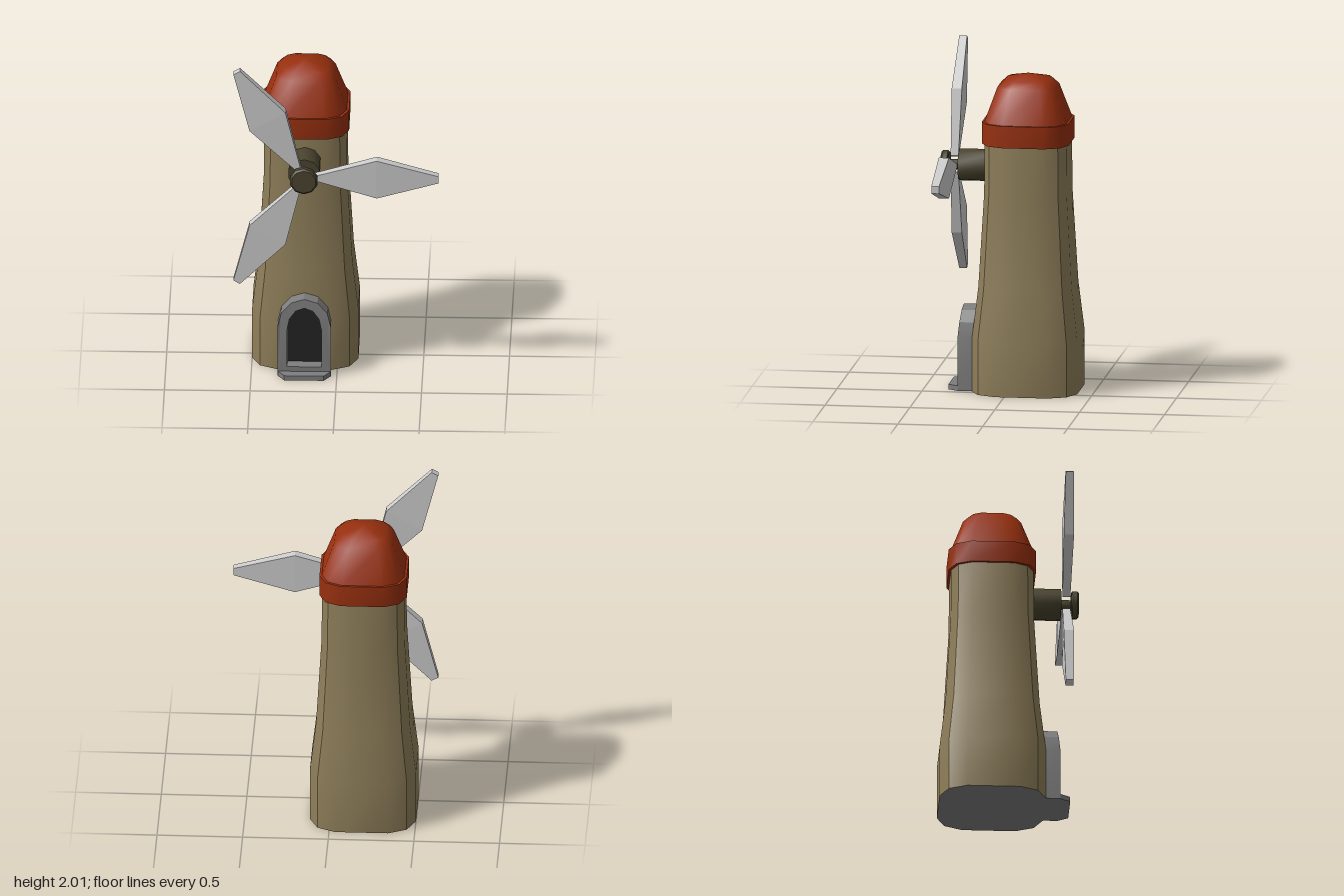
import * as THREE from 'three';
import { toCreasedNormals } from 'three/addons/utils/BufferGeometryUtils.js';

const CX = -0.19, CZ = -0.1; // tower axis

const material = (name, color) => {
  const m = new THREE.MeshStandardMaterial({ color });
  m.name = name;
  return m;
};

// Twelve-sided rounded square, swept through [halfWidth, y] sections
function loft(sections, crease) {
  const ring = [];
  for (let q = 0; q < 4; q++) {
    for (const [u, v] of [[1, 0.5], [0.84, 0.84], [0.5, 1]]) {
      let x = u, z = v;
      for (let k = 0; k < q; k++) [x, z] = [-z, x];
      ring.push([x, z]);
    }
  }
  const n = ring.length, pos = [], index = [];
  for (const [h, y] of sections) {
    for (const [x, z] of ring) pos.push(CX + x * h, y, CZ + z * h);
  }
  for (let s = 0; s < sections.length - 1; s++) {
    for (let i = 0; i < n; i++) {
      const j = (i + 1) % n;
      const a = s * n + i, b = s * n + j, c = a + n, d = b + n;
      if (sections[s][0] > 0) index.push(a, c, b);
      if (sections[s + 1][0] > 0) index.push(b, c, d);
    }
  }
  const g = new THREE.BufferGeometry();
  g.setAttribute('position', new THREE.Float32BufferAttribute(pos, 3));
  g.setIndex(index);
  return toCreasedNormals(g, crease);
}

// Arched outline, from the floor up and around
function archPoints(half, bottom, spring, top) {
  const pts = [[-half, bottom], [half, bottom]];
  for (let i = 0; i <= 6; i++) {
    const t = (i / 6) * Math.PI;
    pts.push([half * Math.cos(t), spring + (top - spring) * Math.sin(t)]);
  }
  return pts.map(([x, y]) => new THREE.Vector2(x, y));
}

// Ten-sided turned part along z, from a [radius, z] profile
function turned(profile) {
  const g = new THREE.LatheGeometry(profile.map(([r, z]) => new THREE.Vector2(r, z)), 10);
  g.rotateX(Math.PI / 2);
  g.deleteAttribute('uv');
  return toCreasedNormals(g, 0.7);
}

// Diamond-shaped sail: a box reshaped at root, middle and tip
function bladeGeometry() {
  const g = new THREE.BoxGeometry(2, 2, 2, 2, 1, 1);
  const p = g.attributes.position;
  const stations = [[0.05, 0.011, 0.023], [0.425, 0.121, 0.03], [0.785, 0.022, 0.023]];
  for (let i = 0; i < p.count; i++) {
    const [r, w, d] = stations[Math.round(p.getX(i)) + 1];
    p.setXYZ(i, r, p.getY(i) * w, p.getZ(i) * d);
  }
  return toCreasedNormals(g, 0.02);
}

export function createModel() {
  const model = new THREE.Group();
  model.name = 'windmill';
  const stone = material('tan stone', 0x8f7f5a);
  const red = material('red roof', 0x98300f);
  const grey = material('grey stone', 0x7e7e7e);
  const dark = material('dark doorway', 0x232323);
  const wood = material('dark wood', 0x4a442f);
  const pale = material('pale sail', 0xcccccc);

  const add = (name, geometry, mat, parent = model) => {
    const mesh = new THREE.Mesh(geometry, mat);
    mesh.name = name;
    parent.add(mesh);
    return mesh;
  };

  // Tower
  add('tower', loft([[0.31, 0], [0.31, 0.32], [0.275, 0.62], [0.243, 1.17], [0.24, 1.5]], 0.55), stone);
  add('towerBase', loft([[0, 0], [0.31, 0]], 0.5), grey);

  // Roof
  add('roofBand', loft([[0.22, 1.47], [0.255, 1.47], [0.255, 1.6], [0.235, 1.6]], 0.72), red);
  add('roofDome', loft([[0.243, 1.595], [0.17, 1.8], [0.13, 1.84], [0, 1.873]], 0.8), red);

  // Door surround, leaning back slightly above the spring of the arch
  const door = new THREE.Group();
  door.name = 'door';
  door.position.x = CX;
  model.add(door);
  const outline = new THREE.Shape(archPoints(0.155, 0, 0.32, 0.49));
  outline.holes.push(new THREE.Path(archPoints(0.1, 0.06, 0.3, 0.435)));
  const frame = new THREE.ExtrudeGeometry(outline, { depth: 0.145, bevelEnabled: false });
  frame.translate(0, 0, 0.15);
  const fp = frame.attributes.position;
  for (let i = 0; i < fp.count; i++) {
    const lean = Math.max(0, fp.getY(i) - 0.32) * 0.09;
    if (fp.getZ(i) > 0.2) fp.setZ(i, fp.getZ(i) - lean);
  }
  add('doorFrame', toCreasedNormals(frame, 0.4), grey, door);

  // Dark opening
  const opening = new THREE.ShapeGeometry(new THREE.Shape(archPoints(0.102, 0.058, 0.3, 0.437)));
  add('doorOpening', opening, dark, door).position.z = 0.222;

  // Doorstep with cut corners
  const stepShape = new THREE.Shape([
    [-0.154, -0.18], [-0.154, -0.295], [-0.115, -0.355],
    [0.115, -0.355], [0.154, -0.295], [0.154, -0.18],
  ].map(([x, y]) => new THREE.Vector2(x, y)));
  const step = new THREE.ExtrudeGeometry(stepShape, { depth: 0.03, bevelEnabled: false });
  step.rotateX(-Math.PI / 2);
  add('doorStep', step, grey, door);

  // Axle, hub and sails
  const rotor = new THREE.Group();
  rotor.name = 'rotor';
  rotor.position.set(CX, 1.317, 0);
  model.add(rotor);
  add('axle', turned([[0, 0.1], [0.095, 0.1], [0.095, 0.305], [0, 0.305]]), wood, rotor);
  add('hubCore', turned([[0.03, 0.3], [0.03, 0.37]]), wood, rotor);
  add('hubCap', turned([[0, 0.365], [0.075, 0.365], [0.083, 0.372], [0.083, 0.4], [0.072, 0.41], [0, 0.41]]), wood, rotor);
  const blade = bladeGeometry();
  for (let i = 0; i < 3; i++) {
    const sail = add('sail', blade, pale, rotor);
    sail.position.z = 0.337;
    sail.rotation.z = (i * Math.PI * 2) / 3;
  }
  return model;
}
